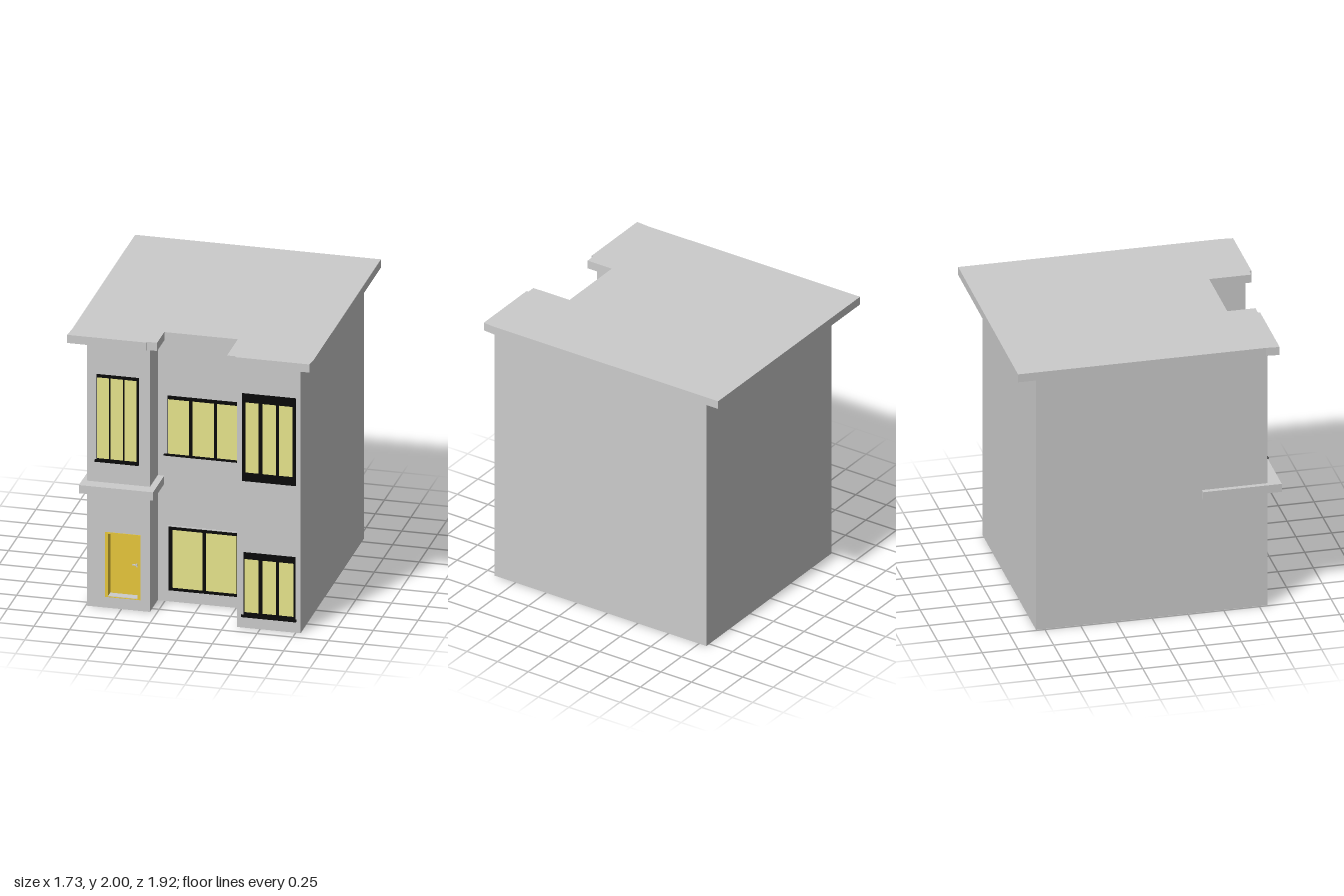
import * as THREE from 'three';

const mat = (color) => new THREE.MeshStandardMaterial({ color });

export function createModel() {
  const house = new THREE.Group();
  house.name = 'house';
  const grey = mat(0xcccccc), black = mat(0x0a0a0a), glass = mat(0xe8e68c), yellow = mat(0xe8c83c);

  const add = (name, geometry, material, parent = house) => {
    const mesh = new THREE.Mesh(geometry, material);
    mesh.name = name;
    parent.add(mesh);
    return mesh;
  };
  // Box given by its lower and upper limits on each axis
  const box = (name, [x0, x1], [y0, y1], [z0, z1], material, parent) =>
    add(name, new THREE.BoxGeometry(x1 - x0, y1 - y0, z1 - z0), material, parent)
      .position.set((x0 + x1) / 2, (y0 + y1) / 2, (z0 + z1) / 2);
  const rect = (Type, [x0, x1], [y0, y1]) => new Type([[x0, y0], [x1, y0], [x1, y1], [x0, y1]]
    .map(([x, y]) => new THREE.Vector2(x, y)));
  // Upright panel with rectangular openings, from z0 to z1
  const panel = (name, xs, ys, holes, [z0, z1], material, parent) => {
    const shape = rect(THREE.Shape, xs, ys);
    shape.holes = holes.map(([hx, hy]) => rect(THREE.Path, hx, hy));
    const geo = new THREE.ExtrudeGeometry(shape, { depth: z1 - z0, bevelEnabled: false });
    return add(name, geo.translate(0, 0, z0), material, parent);
  };
  // Plan outline of [x, z] points raised from y0 to y1
  const slab = (name, points, y0, y1) => {
    const shape = new THREE.Shape(points.map(([x, z]) => new THREE.Vector2(x, -z)));
    const geo = new THREE.ExtrudeGeometry(shape, { depth: y1 - y0, bevelEnabled: false });
    add(name, geo.rotateX(-Math.PI / 2).translate(0, y0, 0), grey);
  };

  const zLeft = 0.81, zMid = 0.595, zRight = 0.92, reveal = 0.07;

  // Walls: two front bays with a recess between them
  slab('walls', [[-0.74, -0.81], [0.785, -0.81], [0.785, zRight], [0.34, zRight], [0.34, zMid],
    [-0.30, zMid], [-0.30, zLeft - reveal], [-0.74, zLeft - reveal]], 0, 1.94);
  const doorX = [-0.614, -0.365], doorY = [0.08, 0.557];
  panel('doorBayWall', [-0.74, -0.30], [0, 1.94], [[doorX, doorY]], [zLeft - reveal, zLeft], grey);

  // Overhanging flat roof
  slab('roof', [[-0.86, -0.965], [0.865, -0.96], [0.865, 0.87], [0.857, 0.96], [0.335, 0.96],
    [0.335, 0.945], [0.275, 0.945], [0.275, 0.65], [-0.24, 0.65], [-0.24, 0.847],
    [-0.31, 0.847], [-0.31, 0.862], [-0.868, 0.862], [-0.86, 0.77]], 1.94, 2);

  // Canopy above the door, wrapping round the bay
  box('canopy', [-0.775, -0.255], [0.86, 0.92], [0.35, 0.9], grey);

  // Door set back in its lining
  const door = new THREE.Group();
  door.name = 'door';
  house.add(door);
  panel('doorFrame', doorX, doorY, [[[-0.593, -0.386], [0.085, 0.546]]],
    [zLeft - reveal, zLeft + 0.004], yellow, door);
  box('doorLeaf', [-0.593, -0.386], [0.085, 0.546], [zLeft - reveal, zLeft - 0.06], yellow, door);
  box('threshold', [-0.593, -0.386], [0.08, 0.088], [zLeft - 0.06, zLeft], grey, door);
  box('handlePlate', [-0.41, -0.402], [0.295, 0.322], [zLeft - 0.06, zLeft - 0.055], grey, door);
  box('handleLever', [-0.436, -0.402], [0.309, 0.316], [zLeft - 0.055, zLeft - 0.045], grey, door);

  // Windows: frame with openings, panes behind, optional sill and outer trim
  const windows = [
    { name: 'upperRightBayWindow', z: zRight, x: [0.376, 0.751], y: [1.08, 1.724], paneY: [1.143, 1.66],
      panes: [[0.397, 0.492], [0.518, 0.614], [0.635, 0.73]] },
    { name: 'lowerRightBayWindow', z: zRight, x: [0.386, 0.747], y: [0.085, 0.556], paneY: [0.116, 0.508],
      panes: [[0.391, 0.492], [0.518, 0.614], [0.635, 0.736]], sill: [[0.37, 0.757], [0.083, 0.097]] },
    { name: 'upperMiddleWindow', z: zMid, x: [-0.23, 0.286], y: [1.076, 1.513], paneY: [1.086, 1.488],
      panes: [[-0.228, -0.079], [-0.058, 0.095], [0.116, 0.27]], sill: [[-0.254, 0.291], [1.075, 1.085]] },
    { name: 'lowerMiddleWindow', z: zMid, x: [-0.224, 0.28], y: [0.083, 0.553], paneY: [0.103, 0.53],
      panes: [[-0.196, 0.016], [0.037, 0.252]], trim: true },
    { name: 'upperLeftBayWindow', z: zLeft, x: [-0.674, -0.378], y: [1.077, 1.712], paneY: [1.094, 1.69],
      panes: [[-0.672, -0.587], [-0.577, -0.487], [-0.476, -0.392]], sill: [[-0.683, -0.376], [1.072, 1.086]] },
  ];
  for (const { name, z, x, y, paneY, panes, sill, trim } of windows) {
    const group = new THREE.Group();
    group.name = name;
    house.add(group);
    panel('windowFrame', x, y, panes.map((p) => [p, paneY]), [z, z + 0.006], black, group);
    panes.forEach((p) => box('pane', p, paneY, [z - 0.005, z + 0.002], glass, group));
    if (sill) box('sill', ...sill, [z, z + 0.018], black, group);
    if (trim) {
      const grow = ([a, b]) => [a - 0.007, b + 0.007];
      panel('outerTrim', grow(x), grow(y), [[x, y]], [z, z + 0.008], grey, group);
    }
  }
  return house;
}
